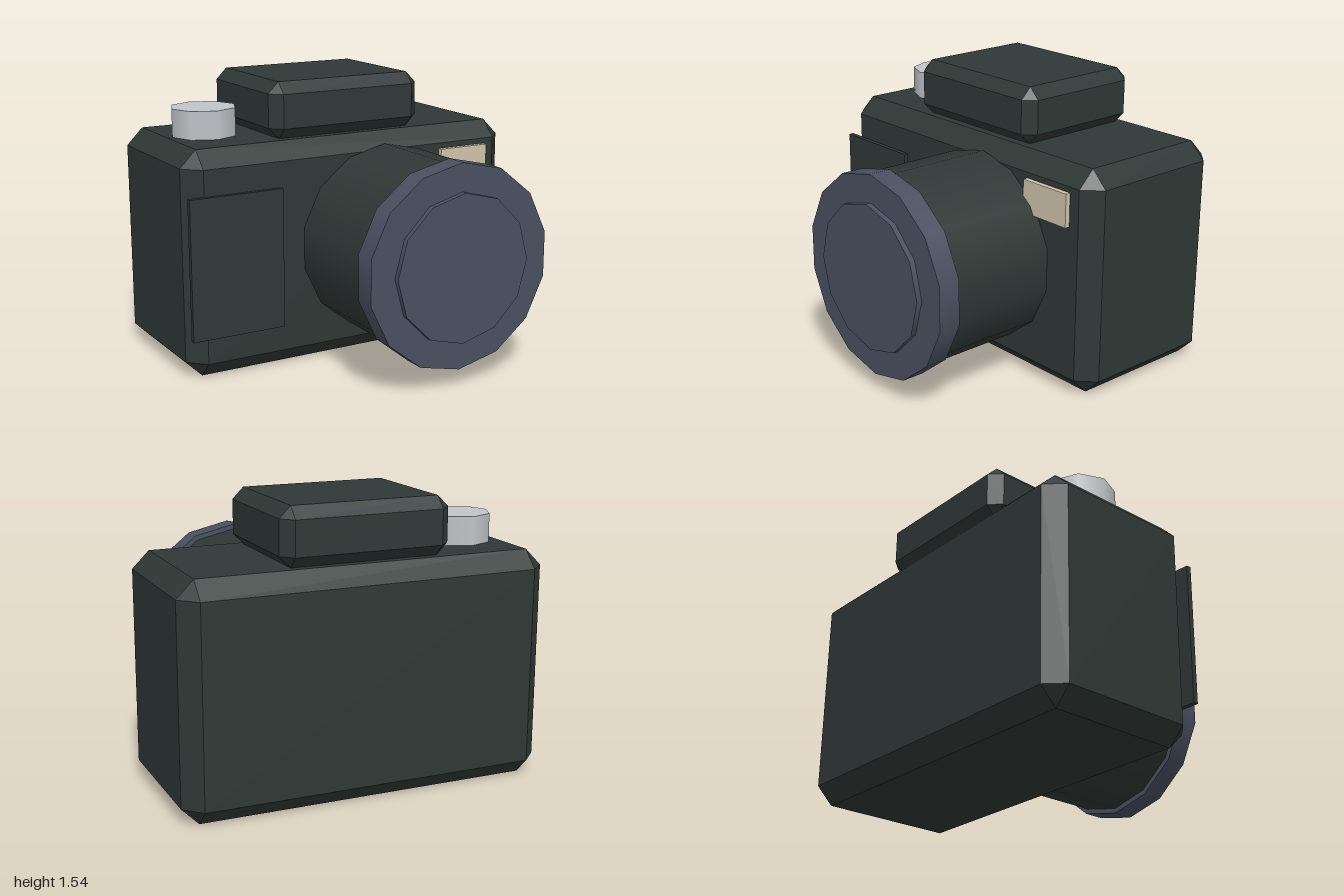
import * as THREE from 'three';
import { ConvexGeometry } from 'three/addons/geometries/ConvexGeometry.js';

const mat = (name, color) => {
  const m = new THREE.MeshStandardMaterial({ color });
  m.name = name;
  return m;
};

// Box between two corners with every edge cut flat by c
function chamferBox(min, max, c) {
  const points = [];
  for (let corner = 0; corner < 8; corner++) {
    for (let axis = 0; axis < 3; axis++) {
      // each corner becomes three points, one on each adjoining face
      const p = [0, 1, 2].map((i) => {
        const high = (corner >> i) & 1;
        const inset = i === axis ? 0 : c;
        return high ? max[i] - inset : min[i] + inset;
      });
      points.push(new THREE.Vector3(...p));
    }
  }
  return new ConvexGeometry(points);
}

function box(min, max) {
  const g = new THREE.BoxGeometry(...max.map((v, i) => v - min[i]));
  return g.translate(...max.map((v, i) => (v + min[i]) / 2));
}

// Lens cylinder running along z from z0 to z1
function lensCylinder(radius, z0, z1, sides) {
  const g = new THREE.CylinderGeometry(radius, radius, z1 - z0, sides);
  return g.rotateX(Math.PI / 2).translate(0.182, 0.649, (z0 + z1) / 2);
}

export function createModel() {
  const group = new THREE.Group();
  group.name = 'camera';
  const black = mat('blackCasing', 0x2f3836);
  const slate = mat('slateLens', 0x495060);
  const silver = mat('silverMetal', 0xc0c5c9);
  const cream = mat('creamWindow', 0xcfc4ab);

  const add = (name, geometry, material) => {
    const mesh = new THREE.Mesh(geometry, material);
    mesh.name = name;
    group.add(mesh);
  };

  // Casing
  add('body', chamferBox([-1, 0, -0.845], [1, 1.233, 0.078], 0.092), black);
  add('viewfinderHump', chamferBox([-0.464, 1.233, -0.77], [0.46, 1.54, 0], 0.061), black);
  add('gripPlate', box([-1, 0.235, 0.074], [-0.465, 1.0, 0.102]), black);

  // Lens
  add('lensBarrel', lensCylinder(0.523, 0.07, 0.7, 14), black);
  add('lensRing', lensCylinder(0.551, 0.692, 0.815, 14), slate);
  add('lensGlass', lensCylinder(0.4, 0.8, 0.845, 12), slate);

  // Small fittings
  add('flashWindow', box([0.535, 0.93, 0.074], [0.845, 1.11, 0.106]), cream);
  const knob = new THREE.CylinderGeometry(0.184, 0.184, 0.16, 8);
  add('shutterKnob', knob.translate(-0.695, 1.307, -0.388), silver);

  return group;
}
